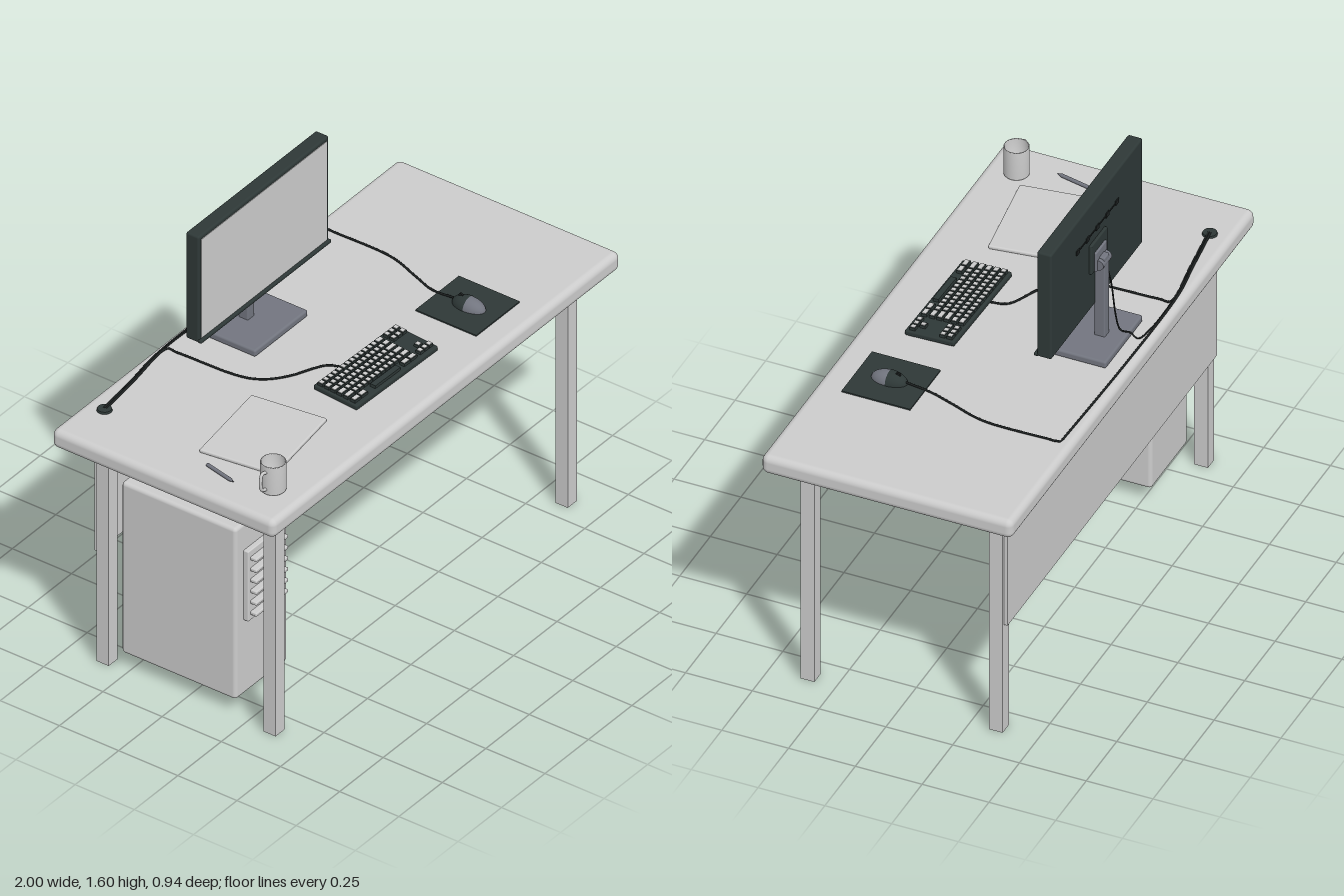
import * as THREE from 'three';
import { RoundedBoxGeometry } from 'three/addons/geometries/RoundedBoxGeometry.js';

const mat = (name, color, side = THREE.FrontSide) => {
  const m = new THREE.MeshStandardMaterial({ color, side });
  m.name = name;
  return m;
};

export function createModel() {
  const grey = mat('light grey', 0xcccccc);
  const slate = mat('slate grey', 0x72757f);
  const dark = mat('charcoal', 0x2e3837);
  const black = mat('cable black', 0x1c2020);
  const model = new THREE.Group();
  model.name = 'deskWithComputer';

  const add = (parent, name, geo, material, x = 0, y = 0, z = 0) => {
    const mesh = new THREE.Mesh(geo, material);
    mesh.name = name;
    mesh.position.set(x, y, z);
    parent.add(mesh);
    return mesh;
  };
  const group = (name, x = 0, y = 0, z = 0) => {
    const g = new THREE.Group();
    g.name = name;
    g.position.set(x, y, z);
    model.add(g);
    return g;
  };
  // Box given by its limits on each axis, with optional rounded edges
  const block = (parent, name, material, [x0, x1], [y0, y1], [z0, z1], r = 0) => {
    const s = [x1 - x0, y1 - y0, z1 - z0];
    const geo = r ? new RoundedBoxGeometry(...s, 3, r) : new THREE.BoxGeometry(...s);
    return add(parent, name, geo, material, (x0 + x1) / 2, (y0 + y1) / 2, (z0 + z1) / 2);
  };
  const cable = (parent, name, pts, r, tension = 0.5) => {
    const curve = new THREE.CatmullRomCurve3(pts.map(p => new THREE.Vector3(...p)), false, 'catmullrom', tension);
    return add(parent, name, new THREE.TubeGeometry(curve, 80, r, 8), black);
  };

  // Desk: rounded top, four legs and a back panel
  const desk = group('desk');
  block(desk, 'deskTop', grey, [-1, 1], [0.925, 1], [-0.47, 0.47], 0.025);
  for (const sx of [-1, 1])
    for (const z of [0.355, -0.35])
      block(desk, z > 0 ? 'frontLeg' : 'backLeg', grey,
        [sx * 0.84 - 0.026, sx * 0.84 + 0.026], [0, 0.93], [z - 0.026, z + 0.026]);
  block(desk, 'backPanel', grey, [-0.857, 0.857], [0.45, 0.89], [-0.39, -0.377]);

  // Computer case with slatted front grille
  const tower = group('computerCase');
  block(tower, 'caseBody', grey, [-0.845, -0.545], [0.06, 0.77], [-0.287, 0.197], 0.014);
  block(tower, 'grillePanel', grey, [-0.8, -0.59], [0.37, 0.66], [0.19, 0.217], 0.004);
  for (let i = 0; i < 6; i++) {
    const y = 0.4 + i * 0.0453;
    block(tower, 'grilleSlat', grey, [-0.787, -0.603], [y - 0.007, y + 0.007], [0.21, 0.242], 0.004);
  }
  const plug = add(tower, 'rearPlug', new THREE.CylinderGeometry(0.008, 0.011, 0.045, 12), dark, -0.695, 0.513, -0.305);
  plug.rotation.x = -Math.PI / 2;

  // Monitor: case, screen, rear vents and mount
  const monitor = group('monitor', -0.095);
  block(monitor, 'monitorCase', dark, [-0.375, 0.375], [1.155, 1.595], [-0.29, -0.235], 0.008);
  block(monitor, 'screen', grey, [-0.36, 0.36], [1.17, 1.58], [-0.238, -0.233]);
  block(monitor, 'lowerLip', dark, [-0.375, 0.375], [1.155, 1.168], [-0.24, -0.224], 0.004);
  block(monitor, 'ventLine', black, [-0.17, 0.17], [1.467, 1.471], [-0.293, -0.288]);
  for (let i = -2; i <= 2; i++)
    block(monitor, 'ventTick', black, [i * 0.08 - 0.012, i * 0.08 + 0.012], [1.46, 1.478], [-0.294, -0.288]);
  block(monitor, 'mountPlate', dark, [-0.065, 0.065], [1.31, 1.43], [-0.3, -0.285], 0.004);
  block(monitor, 'mountBracket', slate, [-0.045, 0.045], [1.31, 1.39], [-0.308, -0.295], 0.004);
  const hinge = add(monitor, 'hinge', new THREE.CylinderGeometry(0.02, 0.02, 0.07, 20), slate, 0, 1.335, -0.31);
  hinge.rotation.z = Math.PI / 2;
  block(monitor, 'neck', slate, [-0.02, 0.02], [1.02, 1.36], [-0.328, -0.288], 0.005);
  block(monitor, 'standBase', slate, [-0.152, 0.152], [1, 1.028], [-0.392, -0.16], 0.008);

  // Keyboard: tray with rows of keys, dark sides and pale tops
  const keyboard = group('keyboard', -0.065, 1.0, 0.215);
  keyboard.rotation.set(0.05, -0.025, 0);
  block(keyboard, 'keyboardTray', dark, [-0.227, 0.227], [0.002, 0.022], [-0.094, 0.094], 0.006);
  const key = (x, z, w, d = 0.021) => {
    block(keyboard, 'key', dark, [x, x + w], [0.02, 0.033], [z, z + d]);
    block(keyboard, 'keyTop', grey, [x + 0.003, x + w - 0.003], [0.033, 0.0345], [z + 0.003, z + d - 0.003]);
  };
  const pitch = 0.0241;
  for (let row = 0; row < 5; row++) {
    const z = -0.083 + row * 0.0275;
    const first = 0.021 + row * 0.005;
    key(-0.218, z, first);
    let x = -0.218 + first + 0.003;
    while (x + 2 * pitch < 0.128) {
      key(x, z, pitch - 0.003);
      x += pitch;
    }
    key(x, z, 0.128 - x);
  }
  for (const [x, w] of [[-0.218, 0.034], [-0.181, 0.034], [-0.107, 0.14], [0.057, 0.034], [0.094, 0.034]]) {
    if (w > 0.1) block(keyboard, 'spaceBar', dark, [x, x + w], [0.02, 0.034], [0.058, 0.08]);
    else key(x, 0.058, w);
  }
  for (let i = 0; i < 3; i++) {
    const x = 0.146 + i * 0.0245;
    key(x, -0.083, 0.0215);
    key(x, -0.0555, 0.0215);
    key(x, 0.058, 0.0215);
  }
  key(0.1705, 0.031, 0.0215);

  // Mouse on its mat
  const mouse = group('mouse', 0.425, 1.004, 0.25);
  block(mouse, 'mouseMat', dark, [-0.125, 0.125], [-0.004, 0.001], [-0.135, 0.122]);
  const shell = new THREE.SphereGeometry(1, 32, 12, 0, Math.PI * 2, 0, Math.PI / 2);
  add(mouse, 'mouseBody', shell, slate).scale.set(0.037, 0.037, 0.066);
  add(mouse, 'mouseButtons', new THREE.SphereGeometry(1, 32, 12, Math.PI, Math.PI, 0, Math.PI / 2), dark)
    .scale.set(0.0385, 0.0385, 0.0675);
  for (const m of mouse.children) if (m.name === 'mouseButtons') m.rotation.y = Math.PI;
  mouse.children.forEach(m => { if (m.name === 'mouseButtons') m.rotation.y = 0; });
  const wheel = add(mouse, 'mouseWheel', new THREE.CylinderGeometry(0.01, 0.01, 0.007, 16), black, 0, 0.031, -0.033);
  wheel.rotation.z = Math.PI / 2;

  // Mug with wall, floor and handle
  const mug = group('mug', -0.84, 1.0, 0.352);
  const wall = [[0, 0.002], [0.04, 0.002], [0.045, 0.008], [0.045, 0.118], [0.043, 0.121], [0.041, 0.118], [0.041, 0.012], [0, 0.012]];
  add(mug, 'mugBody', new THREE.LatheGeometry(wall.map(p => new THREE.Vector2(...p)), 36), grey);
  const drink = add(mug, 'mugInside', new THREE.CircleGeometry(0.041, 32), slate, 0, 0.06, 0);
  drink.rotation.x = -Math.PI / 2;
  const handle = new THREE.CatmullRomCurve3([[-0.042, 0.095], [-0.064, 0.1], [-0.073, 0.07], [-0.066, 0.036], [-0.042, 0.025]]
    .map(([x, y]) => new THREE.Vector3(x, y, 0)));
  add(mug, 'mugHandle', new THREE.TubeGeometry(handle, 24, 0.006, 10), grey);

  // Stack of paper and a pen
  const paper = group('notepad', -0.61, 1.0, 0.14);
  paper.rotation.y = 0.134;
  block(paper, 'notepadCover', grey, [-0.186, 0.186], [0, 0.015], [-0.147, 0.147], 0.006);
  const pen = group('pen', -0.875, 1.008, 0.147);
  pen.rotation.set(Math.PI / 2, 0, 0.22);
  add(pen, 'penBarrel', new THREE.CylinderGeometry(0.007, 0.007, 0.115, 12), slate);
  add(pen, 'penTip', new THREE.CylinderGeometry(0.007, 0.001, 0.02, 12), slate, 0, 0.0675, 0).rotation.z = Math.PI;

  // Cable outlet and cables
  const cables = group('cables');
  add(cables, 'cableOutlet', new THREE.CylinderGeometry(0.025, 0.027, 0.008, 24), dark, -0.8, 1.004, -0.39);
  add(cables, 'cableDrop', new THREE.CylinderGeometry(0.004, 0.004, 0.08, 8), black, -0.8, 0.9, -0.394);
  cable(cables, 'keyboardCable', [[-0.8, 1.006, -0.385], [-0.6, 1.004, -0.41], [-0.4, 1.004, -0.435], [-0.383, 1.004, -0.38],
    [-0.375, 1.004, -0.17], [-0.345, 1.004, -0.07], [-0.27, 1.004, 0], [-0.15, 1.004, 0.06], [-0.122, 1.008, 0.125]], 0.004);
  cable(cables, 'mouseCable', [[-0.8, 1.006, -0.393], [-0.6, 1.004, -0.418], [-0.4, 1.004, -0.442], [0, 1.004, -0.442],
    [0.45, 1.004, -0.43], [0.507, 1.004, -0.424], [0.508, 1.004, -0.38], [0.507, 1.004, -0.15], [0.46, 1.004, 0],
    [0.43, 1.004, 0.09], [0.425, 1.014, 0.19]], 0.004);
  cable(cables, 'monitorCable', [[-0.115, 1.3, -0.318], [-0.12, 1.22, -0.333], [-0.125, 1.1, -0.345], [-0.13, 1.035, -0.36],
    [-0.135, 1.03, -0.395], [-0.16, 1.005, -0.43], [-0.4, 1.005, -0.437], [-0.8, 1.006, -0.39]], 0.003);
  return model;
}
